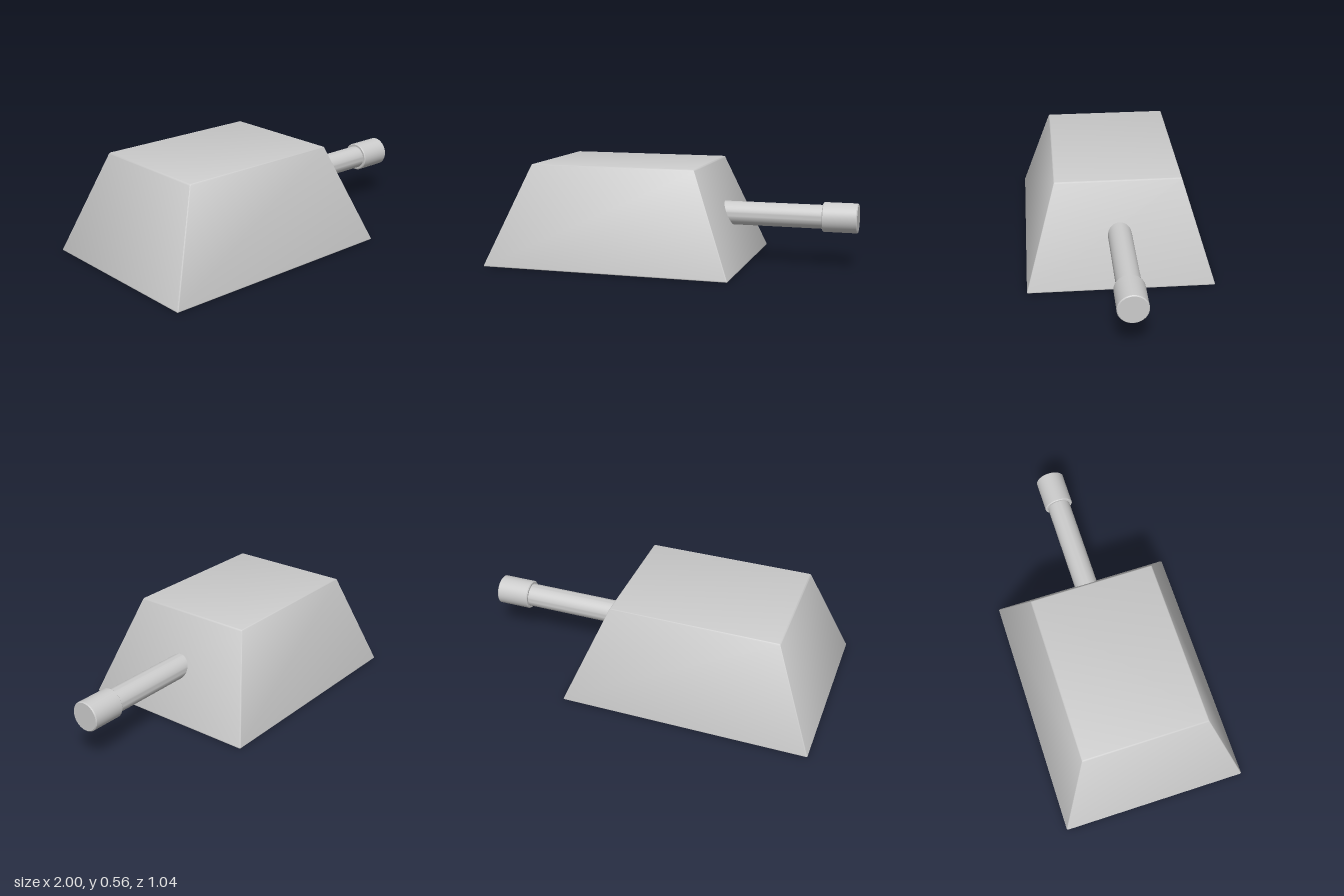
import * as THREE from 'three';
import { RoundedBoxGeometry } from 'three/addons/geometries/RoundedBoxGeometry.js';
import { toCreasedNormals } from 'three/addons/utils/BufferGeometryUtils.js';

const AXIS_Y = 0.28;

// Softly bevelled box whose horizontal section shrinks towards the top
function taperedBlock(width, height, depth, topScale, bevel) {
  const geometry = new RoundedBoxGeometry(width, height, depth, 2, bevel);
  const p = geometry.attributes.position;
  for (let i = 0; i < p.count; i++) {
    const s = THREE.MathUtils.lerp(1, topScale, p.getY(i) / height + 0.5);
    p.setX(i, p.getX(i) * s);
    p.setZ(i, p.getZ(i) * s);
  }
  return toCreasedNormals(geometry, 0.6);
}

// Round bar along x from x0 to x1 with a small chamfer at both ends
function bar(x0, x1, radius, chamfer) {
  const profile = [
    [0, x0], [radius - chamfer, x0], [radius, x0 + chamfer],
    [radius, x1 - chamfer], [radius - chamfer, x1], [0, x1],
  ].map(([r, x]) => new THREE.Vector2(r, x));
  const geometry = new THREE.LatheGeometry(profile, 48);
  geometry.rotateZ(-Math.PI / 2);
  return toCreasedNormals(geometry, 0.5);
}

export function createModel() {
  const model = new THREE.Group();
  model.name = 'taperedBlockWithHandle';
  const material = new THREE.MeshStandardMaterial({ color: 0xcccccc });

  function add(name, geometry, x, y) {
    const mesh = new THREE.Mesh(geometry, material);
    mesh.name = name;
    mesh.position.set(x, y, 0);
    model.add(mesh);
  }

  // Body: truncated pyramid standing on the floor
  add('body', taperedBlock(1.395, 0.56, 1.046, 0.67, 0.008), -0.3025, 0.28);

  // Handle: rod leaving the sloped side, ending in a thicker cap
  add('handleRod', bar(0.15, 0.83, 0.066, 0.003), 0, AXIS_Y);
  add('handleCap', bar(0.808, 1, 0.082, 0.005), 0, AXIS_Y);

  return model;
}
